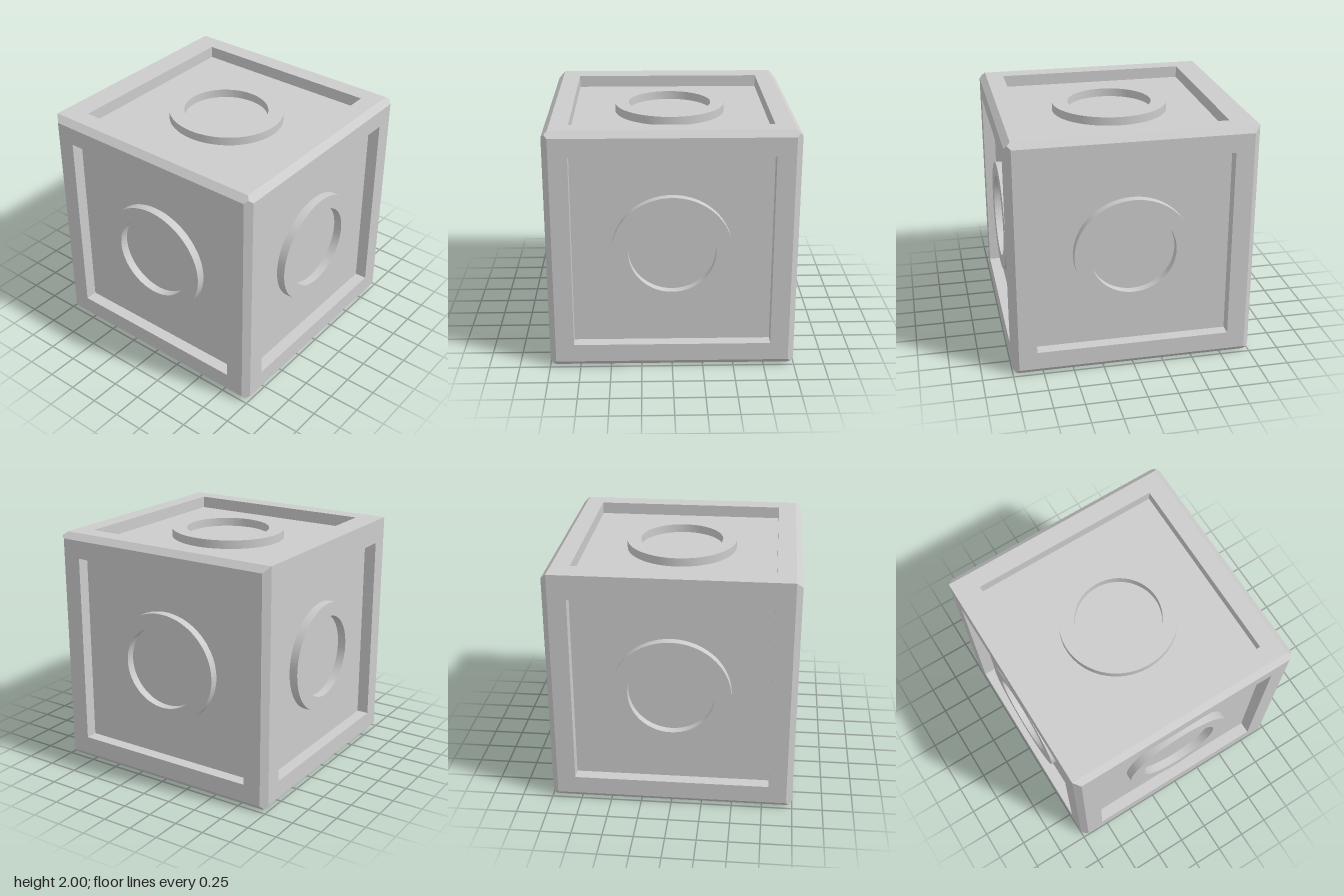
import * as THREE from 'three';
import { toCreasedNormals } from 'three/addons/utils/BufferGeometryUtils.js';

const FACE = 0.95, MEET = 0.975, PANEL = 0.8, FLOOR = 0.9, RING_HEIGHT = 0.07;
const AROUND = [[1, 1], [-1, 1], [-1, -1], [1, -1]];

// Adds a flat convex polygon, turned so that it faces the hint direction
function addPolygon(out, points, hint) {
  const ring = points.filter((p, i) => p.distanceTo(points[(i + 1) % points.length]) > 1e-6);
  const normal = new THREE.Vector3();
  ring.forEach((p, i) => normal.add(p.clone().cross(ring[(i + 1) % ring.length])));
  if (normal.dot(hint) < 0) ring.reverse();
  for (let i = 1; i < ring.length - 1; i++) {
    for (const p of [ring[0], ring[i], ring[i + 1]]) out.push(p.x, p.y, p.z);
  }
}

function makeMesh(name, positions, material) {
  const geometry = new THREE.BufferGeometry();
  geometry.setAttribute('position', new THREE.Float32BufferAttribute(positions, 3));
  geometry.computeVertexNormals();
  const mesh = new THREE.Mesh(geometry, material);
  mesh.name = name;
  return mesh;
}

// A point from one value along an axis and two across it
function point(axis, along, across) {
  const p = new THREE.Vector3().setComponent(axis, along);
  return p.setComponent((axis + 1) % 3, across[0]).setComponent((axis + 2) % 3, across[1]);
}

// The upper edge on the -x side stays sharp; all the others are chamfered
const isSharp = (s) => s.x < 0 && s.y > 0;

// Corner of the flat face on the given axis, at the cube corner with signs s
function faceCorner(s, axis) {
  if (isSharp(s) && axis !== 2) return new THREE.Vector3(s.x, s.y, s.z * FACE);
  return s.clone().multiplyScalar(FACE).setComponent(axis, s.getComponent(axis));
}

// Point where the chamfers of a cube corner meet
function chamferCorner(s) {
  return isSharp(s) ? faceCorner(s, 0) : s.clone().multiplyScalar(MEET);
}

export function createModel() {
  const model = new THREE.Group();
  const cube = new THREE.Group();
  cube.name = 'cube';
  cube.position.y = 1;
  model.add(cube);
  const material = new THREE.MeshStandardMaterial({ color: 0xcccccc });

  // Frames, recess walls and recessed panels of the six sides
  const frame = [], walls = [], panels = [];
  for (let axis = 0; axis < 3; axis++) {
    for (const side of [1, -1]) {
      const outward = point(axis, side, [0, 0]);
      const outer = AROUND.map((q) => faceCorner(point(axis, side, q), axis));
      const rim = AROUND.map(([a, b]) => point(axis, side, [a * PANEL, b * PANEL]));
      const base = rim.map((p) => p.clone().setComponent(axis, side * FLOOR));
      for (let i = 0; i < 4; i++) {
        const j = (i + 1) % 4;
        addPolygon(frame, [outer[i], outer[j], rim[j], rim[i]], outward);
        const inward = rim[i].clone().add(rim[j]).setComponent(axis, 0).negate();
        addPolygon(walls, [rim[i], rim[j], base[j], base[i]], inward);
      }
      addPolygon(panels, base, outward);
    }
  }

  // Chamfers along the edges
  const chamfers = [];
  for (let axis = 0; axis < 3; axis++) {
    const a = (axis + 1) % 3, b = (axis + 2) % 3;
    for (const q of AROUND) {
      const s = point(axis, 1, q), t = point(axis, -1, q);
      if (axis === 2 && isSharp(s)) continue;
      addPolygon(chamfers, [
        faceCorner(s, a), faceCorner(t, a), chamferCorner(t),
        faceCorner(t, b), faceCorner(s, b), chamferCorner(s),
      ], point(axis, 0, q));
    }
  }
  cube.add(makeMesh('frame', frame, material), makeMesh('recessWalls', walls, material),
    makeMesh('panels', panels, material), makeMesh('edgeChamfers', chamfers, material));

  // Slightly oval raised ring in the middle of each panel
  const oval = new THREE.Shape().absellipse(0, 0, 0.48, 0.458, 0, Math.PI * 2);
  oval.holes.push(new THREE.Path().absellipse(0, 0, 0.35, 0.343, 0, Math.PI * 2));
  const ringGeometry = toCreasedNormals(new THREE.ExtrudeGeometry(oval, {
    depth: RING_HEIGHT, bevelEnabled: false, curveSegments: 64,
  }).translate(0, 0, FLOOR), 0.6);
  const turns = {
    front: [0, 0], left: [0, 1], back: [0, 2], right: [0, 3], top: [-1, 0], bottom: [1, 0],
  };
  for (const [side, [x, y]] of Object.entries(turns)) {
    const ring = new THREE.Mesh(ringGeometry, material);
    ring.name = side + 'Ring';
    ring.rotation.set(x * Math.PI / 2, y * Math.PI / 2, 0);
    cube.add(ring);
  }
  return model;
}
